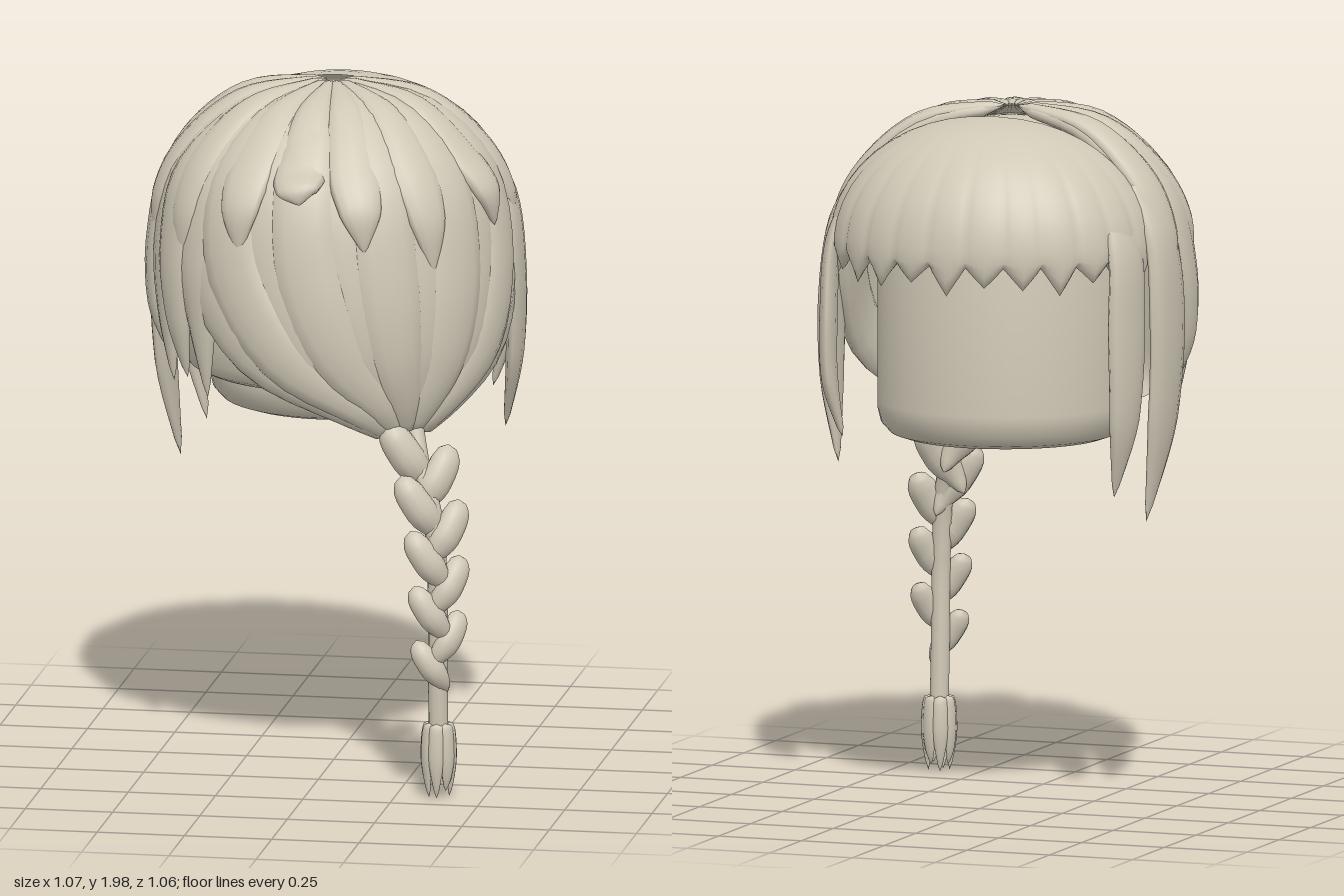
import * as THREE from 'three';

const V = (x, y, z) => new THREE.Vector3(x, y, z);
const lerp = THREE.MathUtils.lerp;
const rad = THREE.MathUtils.degToRad;

// Surface from rows i and columns j; columns may wrap round
function grid(rows, cols, closed, fn) {
  const pos = [], idx = [], n = closed ? cols : cols + 1;
  for (let i = 0; i <= rows; i++)
    for (let j = 0; j < n; j++) pos.push(...fn(i / rows, j / cols).toArray());
  for (let i = 0; i < rows; i++)
    for (let j = 0; j < cols; j++) {
      const k = (j + 1) % n, a = i * n + j, b = i * n + k, c = b + n, d = a + n;
      idx.push(a, b, c, a, c, d);
    }
  const g = new THREE.BufferGeometry();
  g.setAttribute('position', new THREE.Float32BufferAttribute(pos, 3));
  g.setIndex(idx);
  g.computeVertexNormals();
  return g;
}

// Flattened lock of hair; keys are [x, y, z, half width, half thickness]
const headOutward = p => V(p.x, Math.max(0, p.y - 1.45), p.z);
function strand(keys, outward = headOutward, rows = 24) {
  const path = new THREE.CatmullRomCurve3(keys.map(k => V(k[0], k[1], k[2])));
  const size = new THREE.CatmullRomCurve3(keys.map(k => V(k[3], k[4], 0)));
  return grid(rows, 12, true, (t, s) => {
    const p = path.getPoint(t), T = path.getTangent(t), r = size.getPoint(t);
    const n = outward(p);
    n.addScaledVector(T, -n.dot(T)).normalize();
    const side = n.clone().cross(T), a = s * Math.PI * 2;
    const open = t === 0 || t === 1 ? 0 : 1;
    return p.addScaledVector(side, Math.cos(a) * Math.max(r.x, 0.002) * open)
      .addScaledVector(n, Math.sin(a) * Math.max(r.y, 0.002) * open);
  });
}

// Key from azimuth (degrees from +z towards +x), radius and height
const polar = (az, r, y, w, t) => [r * Math.sin(rad(az)), y, r * Math.cos(rad(az)), w, t];

export function createModel() {
  const model = new THREE.Group();
  const hair = new THREE.MeshStandardMaterial({ color: 0xd0c8b6, side: THREE.DoubleSide });
  const add = (name, geo, parent = model) => {
    const m = new THREE.Mesh(geo, hair);
    m.name = name;
    parent.add(m);
    return m;
  };
  const group = name => {
    const g = new THREE.Group();
    g.name = name;
    model.add(g);
    return g;
  };
  const lathe = (pts, start = 0, len = Math.PI * 2) =>
    new THREE.LatheGeometry(pts.map(p => new THREE.Vector2(...p)), 48, start, len);

  // Rounded cylinder head
  add('head', lathe([[0, 1.04], [0.27, 1.04], [0.29, 1.04], [0.325, 1.052], [0.35, 1.08],
    [0.36, 1.12], [0.36, 1.14], [0.36, 1.6], [0.3, 1.7], [0, 1.75]])).position.z = -0.05;

  // Scalp under the hair and lining at the nape
  const scalp = add('scalp', new THREE.SphereGeometry(1, 40, 16, 0, Math.PI * 2, 0, Math.PI / 2));
  scalp.scale.set(0.455, 0.37, 0.455);
  scalp.position.y = 1.57;
  add('napeLining', lathe([[0.3, 1.15], [0.38, 1.15], [0.41, 1.165], [0.425, 1.2],
    [0.43, 1.25], [0.45, 1.6]], rad(-80), rad(160)));

  // Fringe: half dome with gentle ribs and a pointed hem, folded inwards
  const teeth = 13;
  add('fringe', grid(24, teeth * 8, false, (v, u) => {
    const f = (u * teeth) % 1, tri = 1 - Math.abs(2 * f - 1);
    const id = Math.min(teeth - 1, Math.floor(u * teeth));
    const hem = 1.575 - tri * (0.075 + 0.02 * Math.sin(id * 2.4));
    const inner = v > 0.6, q = inner ? (1 - v) / 0.4 : v / 0.6;
    const th = Math.min(1, q / 0.8) * Math.PI / 2;
    const drop = Math.max(0, (q - 0.8) / 0.2);
    const rib = 0.016 * Math.sqrt(Math.max(0, Math.sin(f * Math.PI))) * Math.sin(th) ** 2;
    const k = (inner ? lerp(0.9, 0.95, drop) : 1 - 0.05 * drop * drop) + rib;
    const r = Math.sin(th) ** 0.92 * k, a = Math.PI * u;
    const y = 1.6 + Math.cos(th) * 0.355 * (inner ? 0.93 : 1);
    return V(-0.47 * r * Math.cos(a), lerp(y, hem, drop), -0.12 - 0.4 * r * Math.sin(a));
  }));

  // Back hair swept from the crown to the root of the braid
  const back = group('gatheredBackHair'), rootAz = 39;
  for (let i = 0; i < 11; i++) {
    const a = -44 + i * 14.2, d = i % 2 ? 0.008 : -0.004;
    const toRoot = s => lerp(a, rootAz, s);
    add('gatheredLock', strand([
      polar(a, 0.02, 1.968, 0.015, 0.015),
      polar(a, 0.26 + d, 1.905, 0.06, 0.03),
      polar(a, 0.425 + d, 1.74, 0.092, 0.035),
      polar(toRoot(0.08), 0.48 + d, 1.5, 0.098, 0.038),
      polar(toRoot(0.33), 0.485 + d, 1.28, 0.082, 0.036),
      polar(toRoot(0.7), 0.455 + d, 1.13, 0.055, 0.03),
      polar(toRoot(0.94), 0.42, 1.03, 0.03, 0.025),
    ]), back);
  }

  // Loose locks hanging on the -x side: azimuth, tip height
  const loose = group('looseSideHair');
  [[-42, 1.12], [-54, 1.16], [-66, 1.13], [-79, 1.2], [-94, 1.25]].forEach(([a, tip], i) => {
    const d = i % 2 ? 0.012 : 0;
    add('looseLock', strand([
      polar(a - 3, 0.02, 1.968, 0.015, 0.015),
      polar(a - 3, 0.26, 1.905, 0.06, 0.03),
      polar(a - 2, 0.43 + d, 1.74, 0.085, 0.032),
      polar(a, 0.485 + d, 1.52, 0.08, 0.032),
      polar(a + 2, 0.485 + d, 1.33, 0.05, 0.028),
      polar(a + 3, 0.47, tip, 0.004, 0.006),
    ]), loose);
  });

  // Short pointed locks over the crown: azimuth, tip height
  const over = group('crownLocks');
  [[-97, 1.45], [-76, 1.5], [-50, 1.48], [-24, 1.56], [-3, 1.72], [18, 1.58],
    [42, 1.5], [72, 1.6], [97, 1.5]].forEach(([a, tip]) => {
    const mid = lerp(1.78, tip, 0.45);
    add('crownLock', strand([
      polar(a, 0.02, 1.972, 0.012, 0.014),
      polar(a, 0.26, 1.92, 0.055, 0.026),
      polar(a, 0.42, 1.78, 0.075, 0.03),
      polar(a + 1, 0.487, mid, 0.06, 0.026),
      polar(a + 2, 0.505, tip, 0.004, 0.006),
    ]), over);
  });

  // Long locks framing the face, two on each side
  const face = group('faceLocks');
  for (const [s, tipA, tipB] of [[1, 0.95, 1.04], [-1, 0.83, 0.91]]) {
    add('longFaceLock', strand([
      [s * 0.4, 1.8, -0.1, 0.03, 0.015],
      [s * 0.48, 1.64, -0.09, 0.085, 0.026],
      [s * 0.505, 1.42, -0.09, 0.105, 0.028],
      [s * 0.5, lerp(1.42, tipA, 0.5), -0.11, 0.085, 0.026],
      [s * 0.465, tipA, -0.15, 0.004, 0.006],
    ], p => V(p.x, 0, 0.3 * p.z)), face);
    add('shortFaceLock', strand([
      [s * 0.39, 1.75, -0.22, 0.05, 0.015],
      [s * 0.44, 1.6, -0.25, 0.075, 0.024],
      [s * 0.45, 1.4, -0.265, 0.08, 0.026],
      [s * 0.445, lerp(1.4, tipB, 0.55), -0.27, 0.062, 0.024],
      [s * 0.41, tipB, -0.26, 0.004, 0.006],
    ], p => V(p.x, 0, 0.5 * p.z)), face);
  }

  // Braid: thin core with alternating plump lobes
  const braid = group('braid');
  const core = new THREE.CatmullRomCurve3([V(0.28, 1.08, 0.31), V(0.31, 0.95, 0.355),
    V(0.355, 0.8, 0.395), V(0.37, 0.6, 0.41), V(0.37, 0.4, 0.405), V(0.37, 0.18, 0.395)]);
  add('braidCore', new THREE.TubeGeometry(core, 32, 0.028, 10), braid);
  const across = V(0.87, 0, -0.5), facing = V(0.5, 0, 0.87);
  for (let i = 0; i < 9; i++) {
    const s = i % 2 ? 1 : -1, k = 1 - i * 0.035;
    const c = core.getPointAt(0.1 + i * 0.083);
    const key = (x, y, z, w, t) => [...c.clone().addScaledVector(across, s * x * k)
      .addScaledVector(facing, z).add(V(0, y * k, 0)).toArray(), w * k, t * k];
    add('braidLobe', strand([
      key(0.085, 0.08, -0.012, 0.02, 0.015),
      key(0.07, 0.035, 0.005, 0.046, 0.036),
      key(0.03, -0.03, 0.018, 0.05, 0.04),
      key(-0.01, -0.085, 0.016, 0.034, 0.028),
      key(-0.035, -0.135, 0, 0.008, 0.01),
    ], () => facing.clone(), 14), braid);
  }

  // Tassel of pointed tufts
  const tassel = group('tassel');
  for (let i = 0; i < 7; i++) {
    const a = i * Math.PI * 2 / 7, x = Math.sin(a), z = Math.cos(a);
    const key = (r, y, w, t) => [0.37 + x * r, y, 0.395 + z * r, w, t];
    add('tuft', strand([key(0.028, 0.215, 0.02, 0.012), key(0.034, 0.19, 0.022, 0.014),
      key(0.038, 0.12, 0.023, 0.014), key(0.036, 0.06, 0.015, 0.01),
      key(0.03, i % 2 ? 0.02 : 0, 0.003, 0.003)], () => V(x, 0, z), 12), tassel);
  }
  return model;
}
